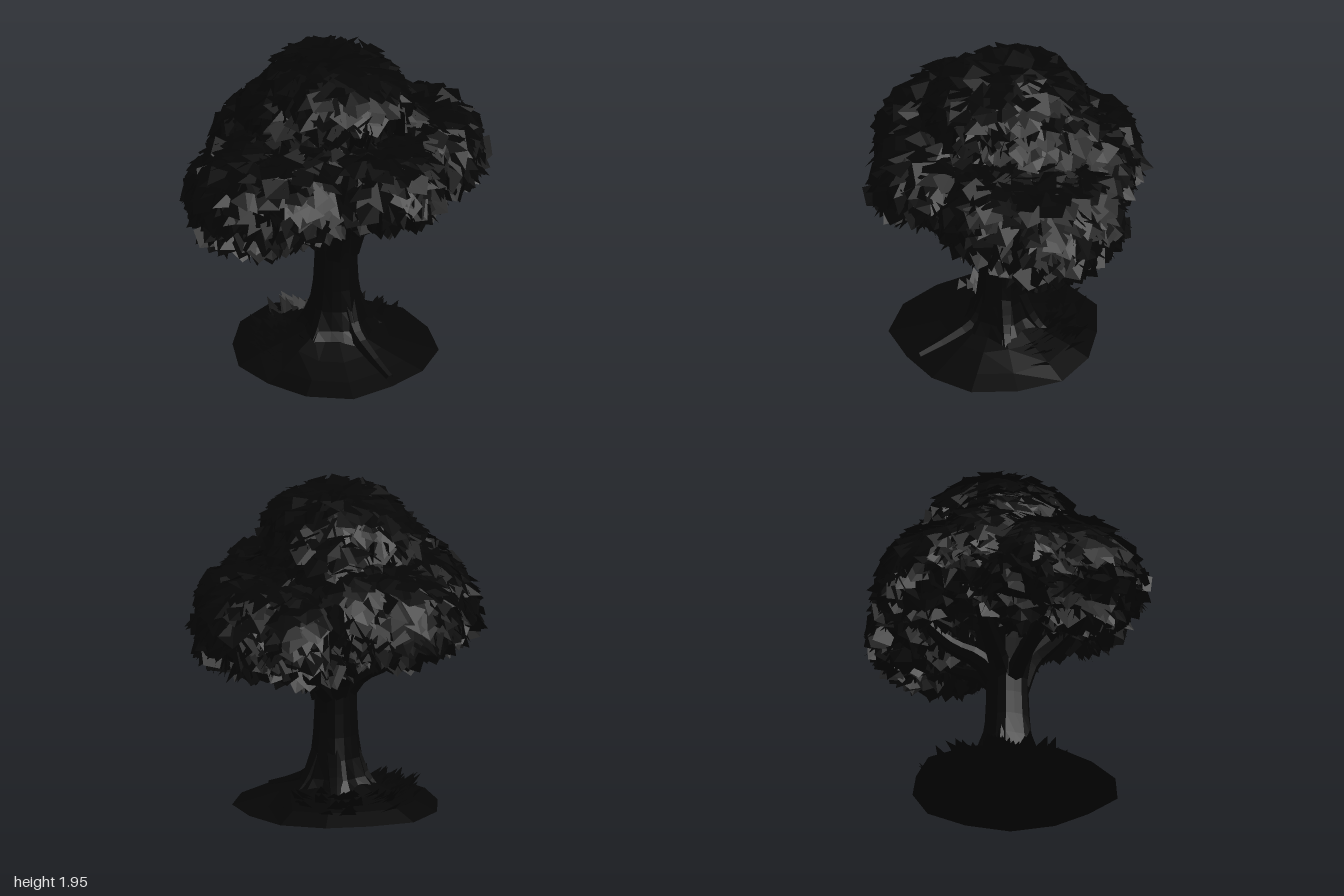
import * as THREE from 'three';

const V = (x, y, z) => new THREE.Vector3(x, y, z);
let seed = 7;
const rnd = () => {
  seed = (seed * 16807) % 2147483647;
  return seed / 2147483647;
};
const jit = (a) => (rnd() * 2 - 1) * a;

const foliageMat = new THREE.MeshStandardMaterial({ color: 0x050505, flatShading: true, side: THREE.DoubleSide });
const barkMat = new THREE.MeshStandardMaterial({ color: 0x050505, flatShading: true, side: THREE.DoubleSide });

function add(group, name, geometry, material) {
  const mesh = new THREE.Mesh(geometry, material);
  mesh.name = name;
  group.add(mesh);
}

function fromTriangles(points) {
  const g = new THREE.BufferGeometry().setFromPoints(points);
  g.computeVertexNormals();
  return g;
}

// Canopy lobes: centre, radii x/z, height above and below the centre
const lobes = [
  { c: V(0, 1.64, -0.01), rx: 0.37, rz: 0.43, up: 0.27, down: 0.1 },
  { c: V(0, 1.34, -0.04), rx: 0.58, rz: 0.52, up: 0.28, down: 0.25 },
  { c: V(0, 1.28, 0.42), rx: 0.34, rz: 0.36, up: 0.23, down: 0.18 },
  { c: V(0, 1.19, -0.44), rx: 0.38, rz: 0.35, up: 0.31, down: 0.19 },
];
for (const s of [-1, 1]) {
  lobes.push(
    { c: V(s * 0.54, 1.14, 0.03), rx: 0.38, rz: 0.34, up: 0.34, down: 0.2 },
    { c: V(s * 0.42, 1.23, 0.26), rx: 0.33, rz: 0.29, up: 0.26, down: 0.17 },
    { c: V(s * 0.43, 1.14, -0.24), rx: 0.36, rz: 0.24, up: 0.3, down: 0.21 },
    { c: V(s * 0.37, 1.08, -0.12), rx: 0.2, rz: 0.24, up: 0.2, down: 0.16 },
    { c: V(s * 0.2, 1.5, -0.1), rx: 0.27, rz: 0.36, up: 0.24, down: 0.15 },
    { c: V(s * 0.25, 1.25, -0.34), rx: 0.28, rz: 0.28, up: 0.32, down: 0.2 },
  );
}
const lobePoint = (l, u) => V(l.c.x + u.x * l.rx, l.c.y + u.y * (u.y > 0 ? l.up : l.down), l.c.z + u.z * l.rz);
function depth(l, p) {
  const d = p.clone().sub(l.c);
  return Math.hypot(d.x / l.rx, d.y / (d.y > 0 ? l.up : l.down), d.z / l.rz);
}

// One leaf clump: a broad kite folded along its middle
function pushLeaf(out, p, n, dir, length, width) {
  const s = n.clone().cross(dir).normalize();
  const at = (along, across, lift) => p.clone().addScaledVector(dir, along).addScaledVector(s, across).addScaledVector(n, lift);
  const base = at(-length * 0.5, 0, 0.01);
  const tip = at(length * 0.5, 0, 0.01);
  const left = at(length * 0.12, width, jit(0.04));
  const right = at(length * 0.12, -width, jit(0.04));
  out.push(base, tip, left, base, right, tip);
}

function lobeLeaves(l) {
  const out = [];
  const count = Math.round(850 * (l.rx * l.rz + (l.rx + l.rz) * (l.up + l.down) * 0.5));
  for (let i = 0; i < count; i++) {
    const y = 1 - (2 * (i + 0.5)) / count;
    const r = Math.sqrt(1 - y * y);
    const a = i * 2.39996 + jit(0.2);
    const u = V(r * Math.cos(a), y, r * Math.sin(a));
    const p = lobePoint(l, u);
    if (lobes.some((o) => o !== l && depth(o, p) < 0.9)) continue;
    const n = V(u.x / l.rx, u.y / (y > 0 ? l.up : l.down), u.z / l.rz).normalize();
    const dir = V(n.x + jit(0.6), -0.9, n.z + jit(0.6));
    if (n.y > -0.2) dir.addScaledVector(n, -dir.dot(n));
    dir.normalize().addScaledVector(n, 0.15 + rnd() * 0.3).normalize();
    pushLeaf(out, p, n, dir, 0.16 + rnd() * 0.07, 0.07 + rnd() * 0.04);
  }
  return fromTriangles(out);
}

// Round limb that narrows along a curve
function limb(points, r0, r1, sides = 7) {
  const curve = new THREE.CatmullRomCurve3(points.map((p) => V(...p)));
  const steps = 8;
  const g = new THREE.TubeGeometry(curve, steps, 1, sides);
  const pos = g.attributes.position;
  const v = V(0, 0, 0);
  for (let i = 0; i <= steps; i++) {
    const c = curve.getPointAt(i / steps);
    const r = r0 + (r1 - r0) * (i / steps);
    for (let j = 0; j <= sides; j++) {
      const k = i * (sides + 1) + j;
      v.fromBufferAttribute(pos, k).sub(c).multiplyScalar(r).add(c);
      pos.setXYZ(k, v.x, v.y, v.z);
    }
  }
  g.computeVertexNormals();
  return g;
}

export function createModel() {
  seed = 7;
  const tree = new THREE.Group();
  tree.name = 'tree';

  // Ground mound with a ragged rim and a flat underside, fuller towards the back
  const mound = new THREE.LatheGeometry(
    [[0, 0], [0.36, 0], [0.6, 0.02], [0.47, 0.055], [0.32, 0.1], [0.18, 0.15], [0, 0.17]].map((p) => new THREE.Vector2(...p)), 14);
  const mp = mound.attributes.position;
  for (let i = 0; i < mp.count; i++) {
    const x = mp.getX(i), y = mp.getY(i), z = mp.getZ(i);
    const a = Math.atan2(z, x);
    const k = 1 + 0.03 * Math.sin(a * 3 + 1) + 0.03 * Math.cos(a * 5 + 2);
    mp.setXYZ(i, x * k * 0.98 - 0.03, y > 0.03 && z < 0.1 ? y + 0.02 : y, z * k + 0.03);
  }
  mound.computeVertexNormals();
  add(tree, 'groundMound', mound, barkMat);

  // Trunk, fluted at the foot and flaring into the crown
  const profile = [[0.3, 0.03], [0.24, 0.12], [0.18, 0.2], [0.147, 0.31], [0.13, 0.44], [0.123, 0.58],
    [0.122, 0.68], [0.135, 0.78], [0.16, 0.9], [0.19, 1.05], [0.12, 1.3]];
  const trunk = new THREE.LatheGeometry(profile.map((p) => new THREE.Vector2(...p)), 16);
  const tp = trunk.attributes.position;
  for (let i = 0; i < tp.count; i++) {
    const x = tp.getX(i), y = tp.getY(i), z = tp.getZ(i);
    const k = 1 + Math.cos(Math.atan2(x, z) * 5) * (y < 0.4 ? 0.12 * (1 - y / 0.4) + 0.03 : 0.03);
    tp.setXYZ(i, x * k - 0.005, y, z * k + 0.02);
  }
  trunk.computeVertexNormals();
  add(tree, 'trunk', trunk, barkMat);

  // Roots spreading over the mound
  [0, 1.25, 2.4, 3.8, 5.0].forEach((a, i) => {
    const len = i === 0 ? 0.52 : 0.38;
    const at = (r, y) => [Math.sin(a) * r, y, Math.cos(a) * r + 0.02];
    add(tree, 'root', limb([at(0.08, 0.36), at(0.17, 0.18), at(len * 0.65, 0.095), at(len, 0.035)], 0.06, 0.025, 6), barkMat);
  });

  // Branches: paired ones to the sides, then front and back
  for (const s of [-1, 1]) {
    add(tree, 'lowerBranch', limb([[s * 0.05, 0.66, 0], [s * 0.17, 0.775, -0.02], [s * 0.3, 0.835, -0.06], [s * 0.5, 0.97, -0.1]], 0.06, 0.025), barkMat);
    add(tree, 'upperBranch', limb([[s * 0.06, 0.74, 0.02], [s * 0.16, 0.86, 0.03], [s * 0.28, 0.97, 0.06], [s * 0.42, 1.15, 0.12]], 0.06, 0.03), barkMat);
    add(tree, 'frontBranch', limb([[s * 0.04, 0.66, 0.06], [s * 0.06, 0.83, 0.13], [s * 0.12, 0.98, 0.26], [s * 0.2, 1.15, 0.4]], 0.08, 0.04), barkMat);
    add(tree, 'backBranch', limb([[s * 0.03, 0.68, -0.02], [s * 0.07, 0.81, -0.12], [s * 0.16, 0.89, -0.26], [s * 0.25, 1.05, -0.42]], 0.07, 0.03), barkMat);
  }

  // Crown: solid cores under overlapping leaf clumps
  for (const l of lobes) {
    const core = new THREE.IcosahedronGeometry(1, 3);
    const cp = core.attributes.position;
    for (let i = 0; i < cp.count; i++) {
      const p = lobePoint(l, V(cp.getX(i), cp.getY(i), cp.getZ(i)).multiplyScalar(0.96));
      cp.setXYZ(i, p.x, p.y, p.z);
    }
    core.computeVertexNormals();
    add(tree, 'crownCore', core, foliageMat);
    add(tree, 'crownLeaves', lobeLeaves(l), foliageMat);
  }

  // Broad grass blades leaning outward around the sides and back
  const blades = [];
  for (let i = 0; i < 80; i++) {
    const a = Math.PI * (0.5 + 1.05 * rnd());
    const r = 0.2 + 0.22 * rnd();
    const out = V(Math.sin(a), 0, Math.cos(a));
    const side = V(out.z, 0, -out.x).multiplyScalar(0.045 + rnd() * 0.02);
    const foot = out.clone().multiplyScalar(r).setY(0.17 - r * 0.28);
    const tip = foot.clone().addScaledVector(out, 0.07 + rnd() * 0.05).addScaledVector(side, jit(1));
    tip.y += 0.04 + rnd() * 0.06;
    blades.push(foot.clone().sub(side), foot.clone().add(side), tip);
  }
  add(tree, 'grass', fromTriangles(blades), foliageMat);

  return tree;
}
